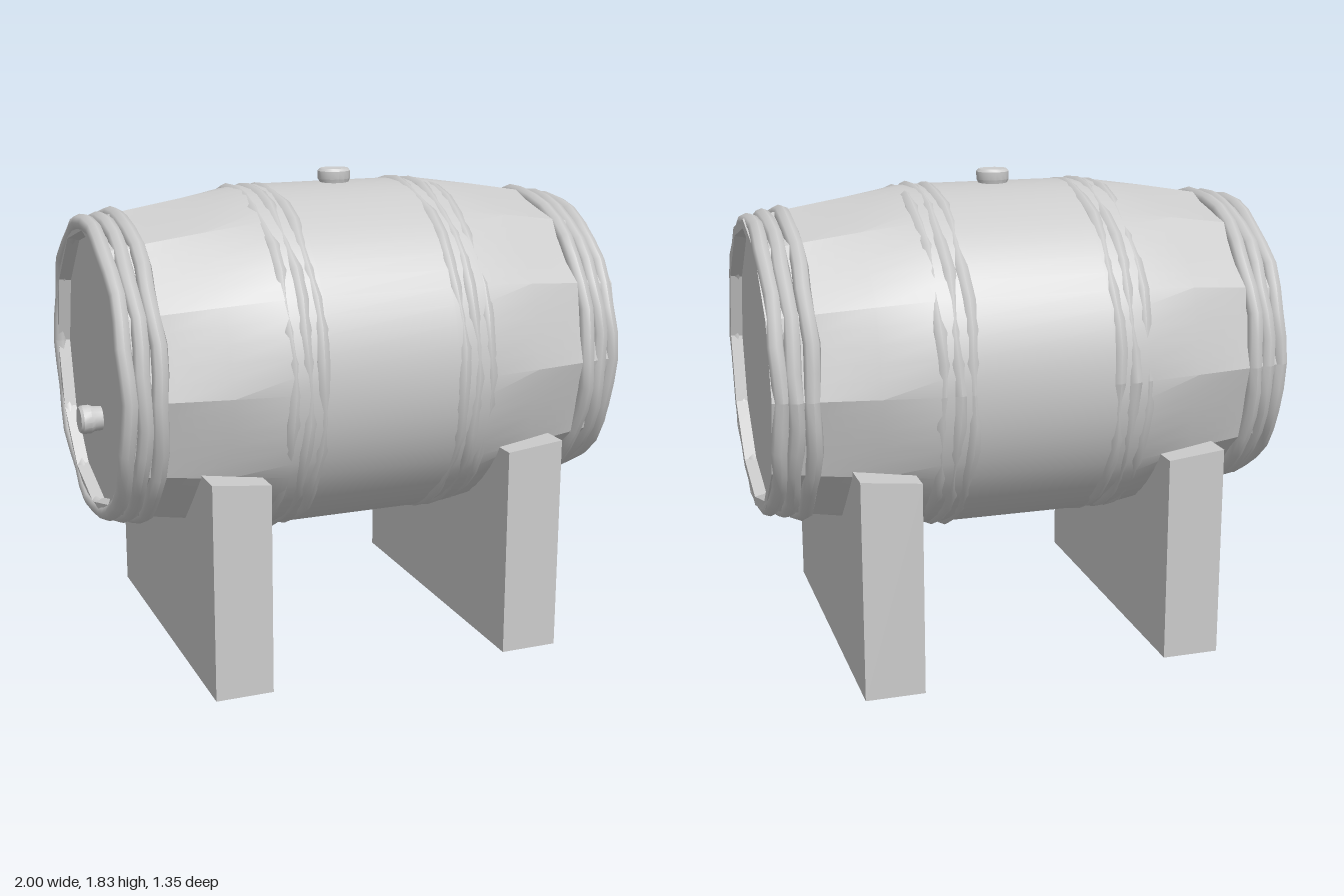
import * as THREE from 'three';
import { toCreasedNormals } from 'three/addons/utils/BufferGeometryUtils.js';

const material = new THREE.MeshStandardMaterial({ color: 0xcccccc });
const AXIS_Y = 1.12; // height of the barrel's axis
const MID_X = 0.02; // middle of the barrel's length
const STAVES = 12;

function add(group, name, geometry, x = 0, y = 0, z = 0) {
  const mesh = new THREE.Mesh(geometry, material);
  mesh.name = name;
  mesh.position.set(x, y, z);
  group.add(mesh);
  return mesh;
}

// Apply a rule to every vertex of a geometry
function reshape(geometry, rule) {
  const p = geometry.attributes.position;
  const v = new THREE.Vector3();
  for (let i = 0; i < p.count; i++) {
    v.fromBufferAttribute(p, i);
    rule(v);
    p.setXYZ(i, v.x, v.y, v.z);
  }
  geometry.computeVertexNormals();
  return geometry;
}

// Barrel: round in the middle, blending to flat staves at the recessed ends
function barrelGeometry() {
  const half = [[0.935, 0], [0.935, 0.515], [0.98, 0.525], [0.98, 0.56], [0.8, 0.592], [0.6, 0.625], [0.38, 0.657], [0.25, 0.66]];
  const points = [
    ...half.map(([x, r]) => new THREE.Vector2(r, -x)),
    ...half.reverse().map(([x, r]) => new THREE.Vector2(r, x)),
  ];
  const geometry = new THREE.LatheGeometry(points, STAVES * 5);
  geometry.rotateZ(-Math.PI / 2);
  const step = (2 * Math.PI) / STAVES;
  reshape(geometry, (v) => {
    const angle = Math.atan2(v.y, v.z) + 2 * Math.PI;
    const local = (angle % step) - step / 2;
    const flat = Math.cos(step / 2) / Math.cos(local);
    const blend = THREE.MathUtils.smoothstep(Math.abs(v.x), 0.38, 0.7);
    const k = THREE.MathUtils.lerp(1, flat, blend);
    v.y *= k;
    v.z *= k;
  });
  return toCreasedNormals(geometry, 0.4);
}

// Slightly uneven rope-like hoop around the x axis
function hoopGeometry(radius, seed) {
  const geometry = new THREE.TorusGeometry(radius, 0.031, 8, 36);
  geometry.rotateY(Math.PI / 2);
  return reshape(geometry, (v) => {
    const a = Math.atan2(v.y, v.z);
    const k = 1 + 0.006 * Math.sin(7 * a + seed * 2.1) + 0.004 * Math.sin(13 * a + seed);
    v.x += 0.005 * Math.sin(9 * a + seed * 1.7);
    v.y *= k;
    v.z *= k;
  });
}

// Support board with a curved cradle and a top that follows the barrel's taper
function supportGeometry(width, bottom, slope) {
  const w = 0.653, top = 0.825, r = 0.57;
  const arc = Math.asin((AXIS_Y - top) / r);
  const shape = new THREE.Shape();
  shape.moveTo(-w, bottom);
  shape.lineTo(w, bottom);
  shape.lineTo(w, top);
  shape.lineTo(r * Math.cos(arc), top);
  shape.absarc(0, AXIS_Y, r, -arc, -Math.PI + arc, true);
  shape.lineTo(-w, top);
  shape.closePath();
  const geometry = new THREE.ExtrudeGeometry(shape, { depth: width, bevelEnabled: false, curveSegments: 24 });
  geometry.translate(0, 0, -width / 2);
  geometry.rotateY(Math.PI / 2);
  return reshape(geometry, (v) => {
    if (v.y > top - 0.001) v.y += slope * v.x;
  });
}

// Short plug with a lightly flared head, pointing up
function plugGeometry() {
  const profile = [[0, 0], [0.052, 0], [0.056, 0.06], [0.064, 0.075], [0.064, 0.105], [0.055, 0.115], [0, 0.112]];
  const geometry = new THREE.LatheGeometry(profile.map(([r, y]) => new THREE.Vector2(r, y)), 16);
  return toCreasedNormals(geometry, 0.6);
}

export function createModel() {
  const model = new THREE.Group();
  model.name = 'barrelOnSupports';

  add(model, 'barrel', barrelGeometry(), MID_X, AXIS_Y, 0);

  // Four bands of three hoops: [x, ring radius]
  const bands = {
    rightEndHoops: [[-0.94, 0.548], [-0.885, 0.558], [-0.83, 0.572]],
    rightMiddleHoops: [[-0.365, 0.63], [-0.31, 0.635], [-0.255, 0.637]],
    leftMiddleHoops: [[0.295, 0.637], [0.35, 0.635], [0.405, 0.63]],
    leftEndHoops: [[0.855, 0.572], [0.915, 0.558], [0.968, 0.548]],
  };
  let seed = 1;
  for (const [name, hoops] of Object.entries(bands)) {
    const band = new THREE.Group();
    band.name = name;
    for (const [x, radius] of hoops) add(band, 'hoop', hoopGeometry(radius, seed++), x, AXIS_Y, 0);
    model.add(band);
  }

  // Bung on top, slightly oval, and a plug in the end
  const bung = add(model, 'bung', plugGeometry(), 0.035, 1.717, 0);
  bung.scale.z = 0.84;
  const plug = add(model, 'endPlug', plugGeometry(), -0.885, 0.925, 0);
  plug.rotation.z = Math.PI / 2;
  plug.scale.set(0.86, 1, 0.86);

  // Supports
  add(model, 'rightSupport', supportGeometry(0.22, 0.015, -0.11), -0.57, -0.01, 0.005);
  add(model, 'leftSupport', supportGeometry(0.225, 0, 0.11), 0.605, 0, -0.01);
  return model;
}
